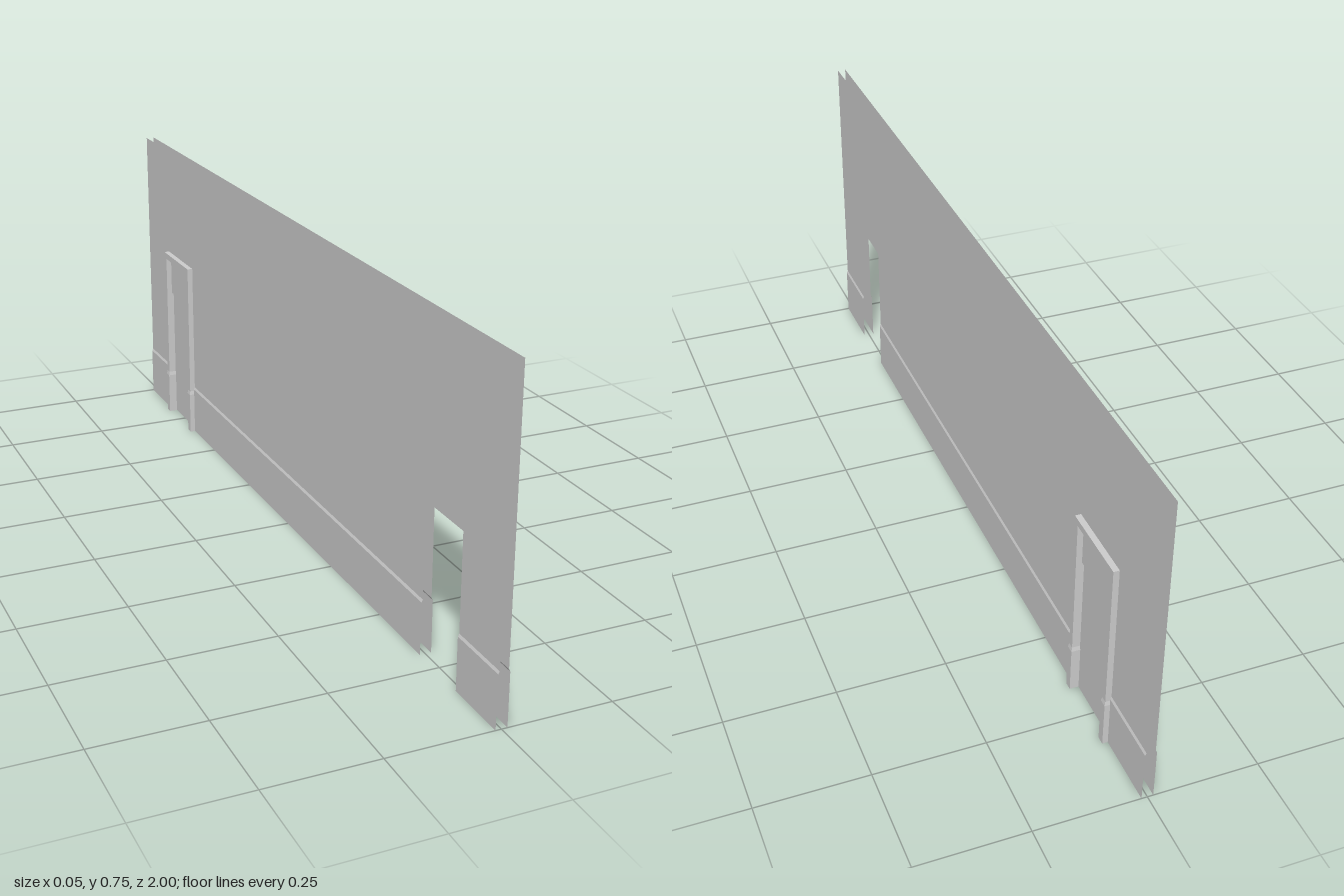
import * as THREE from 'three';

const OPEN_H = 0.35, LEDGE_LOW = 0.122, LEDGE_TOP = 0.128;
const WALL_X = 0.01, BASE_X = 0.013;
// z ranges of the wall pieces between the two openings
const PIERS = [[-1, -0.82], [-0.665, 0.69], [0.843, 1]];

// Flat shape in (z, y), turned to stand facing +x
function sheetFromShape(shape) {
  const g = new THREE.ShapeGeometry(shape);
  g.rotateY(-Math.PI / 2);          // shape x becomes z
  const ix = g.index.array;         // flip so the front faces +x
  for (let i = 0; i < ix.length; i += 3) [ix[i], ix[i + 1]] = [ix[i + 1], ix[i]];
  g.computeVertexNormals();
  return g;
}

// Strip facing +x along z, from point (x0, y0) up to (x1, y1)
function strip(z0, z1, x0, y0, x1, y1) {
  const g = new THREE.PlaneGeometry(1, 1);
  g.attributes.position.array.set([x1, y1, z1, x1, y1, z0, x0, y0, z1, x0, y0, z0]);
  g.computeVertexNormals();
  return g;
}

export function createModel() {
  const model = new THREE.Group();
  model.name = 'wallWithDoor';
  const grey = new THREE.MeshStandardMaterial({ color: 0xcccccc, side: THREE.DoubleSide });
  grey.name = 'plainGrey';

  const add = (parent, name, geometry) => {
    const mesh = new THREE.Mesh(geometry, grey);
    mesh.name = name;
    parent.add(mesh);
    return mesh;
  };

  // Upper wall outline, notched by the openings
  const outline = new THREE.Shape();
  outline.moveTo(-1, 0.75);
  PIERS.forEach(([a, b], i) => {
    outline.lineTo(a, i ? OPEN_H : LEDGE_TOP);
    if (i) outline.lineTo(a, LEDGE_TOP);
    outline.lineTo(b, LEDGE_TOP);
    if (i < 2) outline.lineTo(b, OPEN_H);
  });
  outline.lineTo(1, 0.75);
  const wallGeometry = sheetFromShape(outline);

  // Two open wall skins, mirrored, each with a baseboard and sloped ledge
  for (const side of [1, -1]) {
    const skin = new THREE.Group();
    skin.name = side > 0 ? 'leftSkin' : 'rightSkin';
    add(skin, 'wallSheet', wallGeometry).position.x = WALL_X;
    for (const [a, b] of PIERS) {
      add(skin, 'baseboard', strip(a, b, BASE_X, 0, BASE_X, LEDGE_LOW));
      add(skin, 'baseboardLedge', strip(a, b, BASE_X, LEDGE_LOW, WALL_X, LEDGE_TOP));
    }
    skin.scale.x = side;
    model.add(skin);
  }

  // Door frame: upside-down U standing through the wall
  const frame = new THREE.Group();
  frame.name = 'doorFrame';
  const U = new THREE.Shape([
    [-0.835, 0], [-0.82, 0], [-0.82, 0.449], [-0.665, 0.449],
    [-0.665, 0], [-0.65, 0], [-0.65, 0.465], [-0.835, 0.465],
  ].map(([z, y]) => new THREE.Vector2(z, y)));
  const depth = 0.047;
  const frameGeometry = new THREE.ExtrudeGeometry(U, { depth, bevelEnabled: false });
  frameGeometry.translate(0, 0, -depth / 2).rotateY(-Math.PI / 2);
  add(frame, 'frameTrim', frameGeometry);

  // Wider feet of the frame, tapering in at the top
  for (const z of [-0.8275, -0.6575]) {
    const foot = new THREE.BoxGeometry(0.051, 0.118, 0.019, 1, 2, 1);
    const p = foot.attributes.position;
    for (let i = 0; i < p.count; i++) {
      const y = p.getY(i);
      if (y > 0.01) {
        p.setX(i, Math.sign(p.getX(i)) * depth / 2);
        p.setZ(i, Math.sign(p.getZ(i)) * 0.0075);
      } else if (y > -0.01) p.setY(i, 0.049);
    }
    const flat = foot.toNonIndexed();
    flat.computeVertexNormals();
    add(frame, 'frameFoot', flat).position.set(0, 0.059, z);
  }
  model.add(frame);

  // Recessed door leaf
  add(model, 'doorLeaf', new THREE.BoxGeometry(0.01, OPEN_H, 0.155))
    .position.set(0, OPEN_H / 2, -0.7425);

  return model;
}
